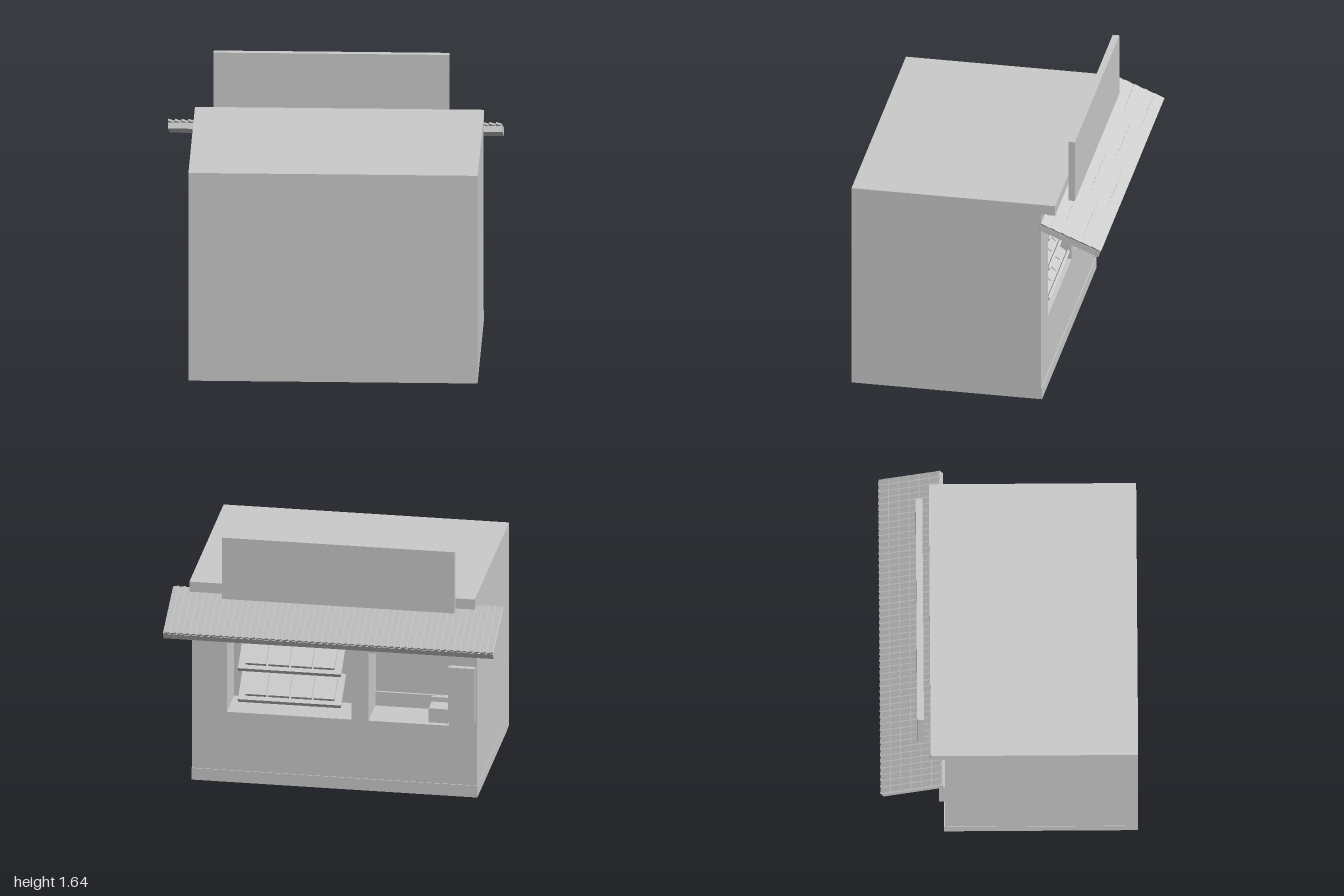
import * as THREE from 'three';
import { mergeGeometries } from 'three/addons/utils/BufferGeometryUtils.js';

const grey = new THREE.MeshStandardMaterial({ color: 0xcccccc, flatShading: true });

function add(parent, name, geometry) {
  const mesh = new THREE.Mesh(geometry, grey);
  mesh.name = name;
  parent.add(mesh);
  return mesh;
}

// Box given by its lower and upper corners
function block(parent, name, x0, x1, y0, y1, z0, z1) {
  const mesh = add(parent, name, new THREE.BoxGeometry(x1 - x0, y1 - y0, z1 - z0));
  mesh.position.set((x0 + x1) / 2, (y0 + y1) / 2, (z0 + z1) / 2);
  return mesh;
}

function rectangle(target, x0, x1, y0, y1) {
  target.moveTo(x0, y0);
  target.lineTo(x1, y0);
  target.lineTo(x1, y1);
  target.lineTo(x0, y1);
  target.closePath();
  return target;
}

// Sloping display shelf with a lip and a row of four trays
function displayShelf(y) {
  const shelf = new THREE.Group();
  shelf.name = 'displayShelf';
  const half = 0.3125;
  block(shelf, 'shelfBoard', -half, half, 0, 0.015, 0, 0.22);
  block(shelf, 'shelfLip', -half, half, 0, 0.03, -0.012, 0.005);
  for (let i = 0; i < 4; i++) {
    const x = -0.27 + i * 0.138;
    block(shelf, 'displayTray', x, x + 0.126, 0.015, 0.035, 0.025, 0.19);
  }
  shelf.position.set(0.3, y, -0.36);
  shelf.rotation.x = -0.64;
  return shelf;
}

// Sloping awning covered with rows of tilted tiles
function tiledAwning() {
  const awning = new THREE.Group();
  awning.name = 'awning';
  const length = 0.397, columns = 50, rows = 6;
  block(awning, 'awningBoard', -1, 1, 0, 0.036, -length, 0);
  const tiles = [];
  const pitch = 2 / columns, step = length / rows;
  for (let row = 0; row < rows; row++) {
    for (let column = 0; column < columns; column++) {
      const tile = new THREE.BoxGeometry(pitch * 0.97, 0.012, step);
      tile.rotateZ(-0.3);
      tile.rotateX(-0.07);
      tile.translate(-1 + (column + 0.5) * pitch, 0.046, -(row + 0.5) * step);
      tiles.push(tile);
    }
  }
  add(awning, 'roofTiles', mergeGeometries(tiles));
  awning.position.set(0, 1.2, -0.385);
  awning.rotation.x = -0.386;
  return awning;
}

export function createModel() {
  const kiosk = new THREE.Group();
  kiosk.name = 'kiosk';

  // Solid body, overhanging roof edge and base strip
  block(kiosk, 'body', -0.84, 0.89, 0, 1.31, -0.125, 0.77);
  block(kiosk, 'roofEdge', -0.84, 0.89, 1.245, 1.31, -0.47, -0.385);
  block(kiosk, 'baseStrip', -0.842, 0.89, 0, 0.075, -0.39, 0.69);

  // Service wall with a display window and a counter opening
  const wall = rectangle(new THREE.Shape(), -0.84, 0.89, 0, 1.31);
  wall.holes.push(rectangle(new THREE.Path(), -0.077, 0.677, 0.45, 1.12));
  wall.holes.push(rectangle(new THREE.Path(), -0.668, -0.182, 0.45, 1.12));
  const wallGeometry = new THREE.ExtrudeGeometry(wall, { depth: 0.26, bevelEnabled: false });
  add(kiosk, 'serviceWall', wallGeometry).position.z = -0.385;

  for (const y of [0.52, 0.72, 0.92]) kiosk.add(displayShelf(y));

  // Counter opening fittings
  block(kiosk, 'counterLedge', -0.668, -0.182, 0.45, 0.54, -0.14, -0.124);
  block(kiosk, 'counterBox', -0.66, -0.54, 0.45, 0.54, -0.35, -0.24);
  block(kiosk, 'counterBoxBack', -0.66, -0.54, 0.45, 0.57, -0.24, -0.215);
  block(kiosk, 'shutterPanel', -0.73, -0.15, 0.905, 1.17, -0.43, -0.405);
  block(kiosk, 'shutterRail', -0.76, -0.1, 1.165, 1.195, -0.43, -0.385);
  block(kiosk, 'noticeBoard', -0.83, -0.67, 0.49, 0.84, -0.42, -0.38);

  kiosk.add(tiledAwning());

  // Upright sign panel above the awning
  block(kiosk, 'signPanel', -0.73, 0.68, 1.245, 1.64, -0.55, -0.51);

  return kiosk;
}
